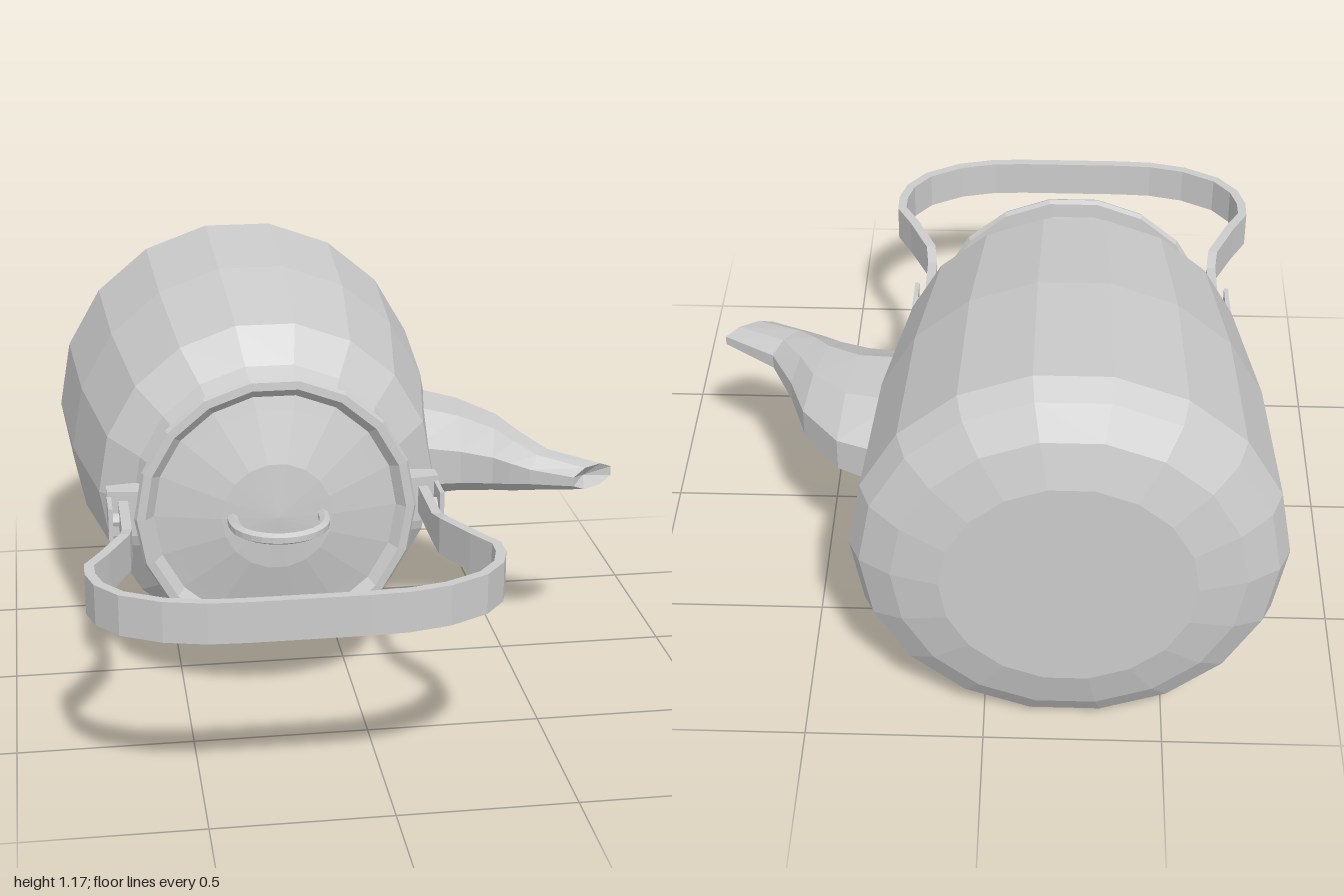
import * as THREE from 'three';

const material = new THREE.MeshStandardMaterial({ color: 0xcccccc, flatShading: true, side: THREE.DoubleSide });
const SIDES = 18;

function part(name, geometry, parent) {
  const mesh = new THREE.Mesh(geometry, material);
  mesh.name = name;
  parent.add(mesh);
  return mesh;
}

// Lathe around the z axis from [radius, z] pairs, with a corner on the x axis
function turned(profile) {
  const points = profile.map(([r, z]) => new THREE.Vector2(r, z));
  return new THREE.LatheGeometry(points, SIDES, Math.PI / 2).rotateX(Math.PI / 2);
}

// Skin over equal-length rings of points; capDepth sinks the end cap inward
function loft(rings, capDepth = 0) {
  const n = rings[0].length, last = rings.length - 1;
  const centre = ring => ring.reduce((s, p) => s.add(p), new THREE.Vector3()).divideScalar(n);
  const end = centre(rings[last]);
  const back = centre(rings[last - 1]).sub(end).normalize();
  const points = [...rings.flat(), centre(rings[0]), end.addScaledVector(back, capDepth)];
  const index = [], start = n * rings.length;
  for (let j = 0; j < n; j++) {
    const k = (j + 1) % n;
    for (let i = 0; i < last; i++) {
      const a = i * n + j, b = i * n + k;
      index.push(a, b, a + n, b, b + n, a + n);
    }
    index.push(k, j, start, last * n + j, last * n + k, start + 1);
  }
  const geometry = new THREE.BufferGeometry().setFromPoints(points);
  geometry.setIndex(index);
  const flat = geometry.toNonIndexed();
  flat.computeVertexNormals();
  return flat;
}

// Octagonal spout: outer x,z / inner x,z / half height of each section
function spoutGeometry() {
  const sections = [
    [0.50, -0.55, 0.46, -0.08, 0.148],
    [0.658, -0.48, 0.598, -0.05, 0.122],
    [0.768, -0.34, 0.688, -0.01, 0.10],
    [0.818, -0.20, 0.735, 0.025, 0.08],
    [0.888, -0.06, 0.788, 0.06, 0.056],
    [1.043, 0.04, 0.908, 0.12, 0.034],
  ];
  const fit = 1 / Math.cos(Math.PI / 8);
  return loft(sections.map(([ox, oz, ix, iz, h]) => Array.from({ length: 8 }, (_, j) => {
    const t = (j + 0.5) * Math.PI / 4, c = Math.cos(t) * fit / 2;
    return new THREE.Vector3((ox + ix) / 2 + (ox - ix) * c, h * fit * Math.sin(t), (oz + iz) / 2 + (oz - iz) * c);
  })), 0.03);
}

// Flat strap bent into a bail: x, z, half width along one half
function handleGeometry() {
  const half = [
    [0.437, 0.19, 0.04], [0.437, 0.41, 0.04], [0.445, 0.48, 0.054], [0.505, 0.61, 0.057],
    [0.55, 0.69, 0.057], [0.55, 0.75, 0.057], [0.53, 0.82, 0.057], [0.475, 0.89, 0.057],
    [0.37, 0.947, 0.057], [0.26, 0.973, 0.057], [0.16, 0.978, 0.057],
  ];
  const path = [...half, ...half.map(([x, z, w]) => [-x, z, w]).reverse()];
  const thick = 0.014;
  return loft(path.map(([x, z, w], i) => {
    const a = path[Math.max(i - 1, 0)], b = path[Math.min(i + 1, path.length - 1)];
    const d = new THREE.Vector2(b[0] - a[0], b[1] - a[1]).normalize();
    return [[1, -1], [1, 1], [-1, 1], [-1, -1]].map(([s, t]) =>
      new THREE.Vector3(x + d.y * thick * s, w * t, z - d.x * thick * s));
  }));
}

export function createModel() {
  const kettle = new THREE.Group();
  kettle.name = 'kettle';
  kettle.position.set(-0.228, 0.588, 0);

  // Body with base, shoulder, neck and rolled rim
  part('body', turned([
    [0, -1], [0.345, -1], [0.475, -0.965], [0.562, -0.91], [0.594, -0.84], [0.566, -0.40],
    [0.50, 0], [0.405, 0.10], [0.362, 0.18], [0.358, 0.217], [0.402, 0.22], [0.409, 0.234],
    [0.402, 0.248], [0.378, 0.25], [0.352, 0.222],
  ]), kettle);

  // Recessed, gently domed lid
  part('lid', turned([[0.352, 0.222], [0.312, 0.232], [0.16, 0.272], [0, 0.284]]), kettle);

  // Loop knob on the lid
  const legs = [-1, 1].map(s => new THREE.Vector3(s * 0.13, 0, 0.25));
  const arc = Array.from({ length: 9 }, (_, i) => {
    const t = Math.PI * (1 - i / 8);
    return new THREE.Vector3(0.13 * Math.cos(t), 0, 0.315 + 0.13 * Math.sin(t));
  });
  const loop = new THREE.CatmullRomCurve3([legs[0], ...arc, legs[1]]);
  part('lidKnob', new THREE.TubeGeometry(loop, 18, 0.017, 6), kettle);

  part('spout', spoutGeometry(), kettle);
  part('handle', handleGeometry(), kettle);

  // Handle mounts: the second is the first turned half way round the axis
  for (const side of ['left', 'right']) {
    const mount = new THREE.Group();
    mount.name = side + 'HandleMount';
    if (side === 'right') mount.rotation.z = Math.PI;
    kettle.add(mount);

    const outline = new THREE.Shape([
      [0.34, 0.15], [0.40, 0.122], [0.483, 0.134], [0.483, 0.185], [0.355, 0.205],
    ].map(([x, z]) => new THREE.Vector2(x, z)));
    const arm = new THREE.ExtrudeGeometry(outline, { depth: 0.136, bevelEnabled: false });
    part('mountArm', arm.rotateX(Math.PI / 2).translate(0, 0.068, 0), mount);

    const prong = part('mountProng', new THREE.BoxGeometry(0.013, 0.105, 0.11), mount);
    prong.position.set(0.477, 0, 0.229);

    const pin = part('pivotPin', new THREE.CylinderGeometry(0.02, 0.02, 0.05, 8), mount);
    pin.rotation.z = Math.PI / 2;
    pin.position.set(0.455, 0, 0.235);
  }

  const model = new THREE.Group();
  model.add(kettle);
  return model;
}
